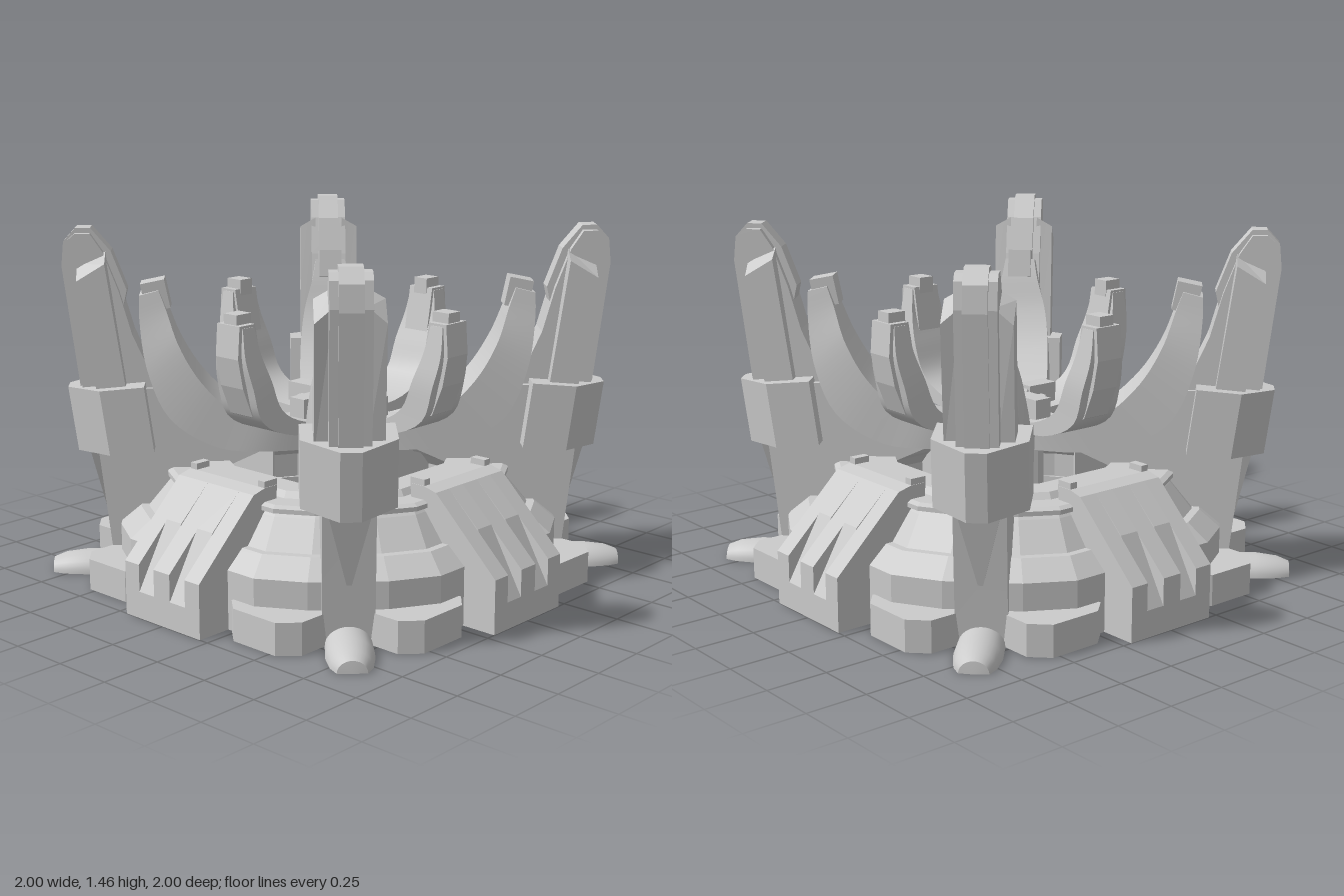
import * as THREE from 'three';
import { toCreasedNormals } from 'three/addons/utils/BufferGeometryUtils.js';

const grey = new THREE.MeshStandardMaterial({ color: 0xcccccc });
const greyOpen = new THREE.MeshStandardMaterial({ color: 0xcccccc, side: THREE.DoubleSide });

function add(parent, name, geo, crease = 0.08, material = grey) {
  const mesh = new THREE.Mesh(toCreasedNormals(geo, crease), material);
  mesh.name = name;
  parent.add(mesh);
  return mesh;
}

function toShape(points) {
  return new THREE.Shape(points.map(([a, b]) => new THREE.Vector2(a, b)));
}

// Side profile in (z, y), extruded across x from x0 to x1
function plate(points, x0, x1) {
  const geo = new THREE.ExtrudeGeometry(toShape(points), { depth: x1 - x0, bevelEnabled: false });
  return geo.translate(0, 0, -x1).rotateY(-Math.PI / 2);
}

// Plan outline in (x, z), extruded upwards
function slab(points, y0, y1) {
  const geo = new THREE.ExtrudeGeometry(toShape(points.map(([x, z]) => [x, -z])), { depth: y1 - y0, bevelEnabled: false });
  return geo.rotateX(-Math.PI / 2).translate(0, y0, 0);
}

// Skin over a list of equal closed cross-sections
function skin(rows, capped = true) {
  const n = rows[0].length, index = [];
  for (let j = 0; j < rows.length - 1; j++) {
    for (let i = 0; i < n; i++) {
      const k = (i + 1) % n, a = j * n, b = a + n;
      index.push(a + i, a + k, b + k, a + i, b + k, b + i);
    }
  }
  if (capped) {
    const e = (rows.length - 1) * n;
    for (let i = 1; i < n - 1; i++) index.push(0, i + 1, i, e, e + i, e + i + 1);
  }
  const geo = new THREE.BufferGeometry();
  geo.setAttribute('position', new THREE.Float32BufferAttribute(rows.flat(2), 3));
  geo.setIndex(index);
  return geo;
}

// Curved rectangular beam: sections are [inner z, inner y, outer z, outer y, half width]
function beam(sections, steps) {
  const inner = new THREE.CatmullRomCurve3(sections.map(s => new THREE.Vector3(s[4], s[1], s[0])));
  const outer = new THREE.CatmullRomCurve3(sections.map(s => new THREE.Vector3(s[4], s[3], s[2])));
  const rows = [];
  for (let i = 0; i <= steps; i++) {
    const p = inner.getPoint(i / steps), q = outer.getPoint(i / steps);
    rows.push([[p.x, p.y, p.z], [-p.x, p.y, p.z], [-q.x, q.y, q.z], [q.x, q.y, q.z]]);
  }
  return skin(rows);
}

function box(w, h, d, x, y, z, tilt = 0) {
  return new THREE.BoxGeometry(w, h, d).rotateX(tilt).translate(x, y, z);
}

// Stepped many-sided shell, open in the middle and underneath
function buildBase(parent) {
  const outline = [];
  for (let k = 0; k < 4; k++) {
    for (const [x, z] of [[-0.35, 0.85], [0.35, 0.85], [0.53, 0.745], [0.745, 0.53]]) {
      const v = new THREE.Vector3(x, 0, z).applyAxisAngle(new THREE.Vector3(0, 1, 0), k * Math.PI / 2);
      outline.push([v.x / 0.85, v.z / 0.85]);
    }
  }
  const profile = [[0.85, 0], [0.85, 0.24], [0.77, 0.31], [0.74, 0.31], [0.655, 0.42], [0.645, 0.43],
    [0.665, 0.437], [0.665, 0.455], [0.645, 0.465], [0.56, 0.465], [0.54, 0.49], [0.43, 0.49]];
  const rows = profile.map(([s, y]) => outline.map(([x, z]) => [x * s, y, z * s]));
  add(parent, 'tieredBase', skin(rows, false), 0.08, greyOpen);
}

// Sloped hollow buttress with two tapering grooves, plus the low blocks beside it
function buildRamp(parent) {
  const top = [[0.705, 0.505], [0.645, 0.52], [0.58, 0.52]];
  const back = [...top, [0.58, 0.47], [0.66, 0.45], [0.9, 0.17], [0.9, 0]];
  const full = [[1, 0], [1, 0.22], ...back];
  const cut = [[1, 0], [1, 0.11], [0.85, 0.37], ...back];
  const ramp = new THREE.Group();
  ramp.name = 'ramp';
  parent.add(ramp);
  const edges = [-0.2, -0.13, -0.045, 0.045, 0.13, 0.2];
  for (let i = 0; i < 5; i++) {
    add(ramp, i % 2 ? 'rampGroove' : 'rampRib', plate(i % 2 ? cut : full, edges[i], edges[i + 1]));
  }
  const cheek = [[0.58, 0], [1, 0], [1, 0.22], ...top];
  for (const s of [-1, 1]) {
    add(ramp, 'rampCheek', plate(cheek, s * 0.205 - 0.005, s * 0.205 + 0.005));
    add(ramp, 'rampLug', box(0.035, 0.05, 0.07, s * 0.19, 0.52, 0.61));
    const block = [[0.24, 0.82], [0.24, 0.86], [0.31, 0.92], [0.53, 0.92], [0.6, 0.85], [0.6, 0.68], [0.48, 0.76], [0.36, 0.82]];
    add(parent, 'footBlock', slab(block.map(([x, z]) => [s * x, z]), 0, 0.13));
  }
}

// Short claw facing the centre
function buildClaw(parent) {
  const claw = new THREE.Group();
  claw.name = 'claw';
  parent.add(claw);
  add(claw, 'clawBlade', beam([
    [0.08, 0.68, 0.1, 0.65, 0.1], [0.3, 0.7, 0.36, 0.655, 0.1], [0.43, 0.77, 0.54, 0.74, 0.1],
    [0.49, 0.9, 0.59, 0.88, 0.1], [0.53, 1.01, 0.615, 1.0, 0.083], [0.55, 1.12, 0.61, 1.12, 0.065],
  ], 20), 0.45);
  add(claw, 'clawSpine', plate([[0.5, 0.73], [0.56, 0.76], [0.61, 0.88], [0.635, 1.0], [0.625, 1.13], [0.54, 1.13], [0.5, 0.9]], -0.062, 0.062));
  add(claw, 'clawTip', box(0.07, 0.12, 0.08, 0, 1.11, 0.575));
}

// Tall diagonal arm: fin, inner finger, ribs, collar and foot
function buildArm(parent) {
  const arm = new THREE.Group();
  arm.name = 'arm';
  parent.add(arm);
  add(arm, 'armLeg', plate([
    [0.6, 0], [0.93, 0], [0.99, 0.55], [1.02, 0.8], [0.73, 0.8], [0.66, 0.72], [0.5, 0.62], [0.3, 0.6], [0.3, 0.54], [0.52, 0.44],
  ], -0.1, 0.1));
  add(arm, 'armFin', plate([
    [0.7, 0.72], [1.04, 0.72], [1.105, 1.31], [1.09, 1.41], [1.06, 1.435], [1.0, 1.435],
    [0.95, 1.36], [0.89, 1.2], [0.84, 1.02], [0.76, 0.84],
  ], -0.078, 0.078));
  add(arm, 'armCrest', plate([
    [0.95, 0.8], [1.06, 0.8], [1.12, 1.3], [1.11, 1.4], [1.06, 1.455], [1.0, 1.455], [0.92, 1.36], [0.86, 1.2],
  ], -0.045, 0.045));
  add(arm, 'innerFinger', beam([
    [0, 0.61, 0, 0.545, 0.1], [0.25, 0.64, 0.3, 0.54, 0.145], [0.42, 0.7, 0.5, 0.56, 0.145],
    [0.56, 0.83, 0.69, 0.68, 0.14], [0.65, 0.98, 0.78, 0.88, 0.12], [0.7, 1.12, 0.81, 1.09, 0.08], [0.73, 1.2, 0.81, 1.18, 0.065],
  ], 28), 0.45);
  add(arm, 'fingerTip', box(0.1, 0.12, 0.1, 0, 1.175, 0.745, 0.2));
  for (const s of [-1, 1]) {
    // Square rib on each side, cut off at a slant on top
    const ring = (r0, r1, heights) => {
      const loop = [[0.13, r0], [0.06, r0], [0.06, r1], [0.13, r1]].map(([t, r], i) => [s * t, heights[i], r]);
      return s > 0 ? loop : loop.reverse();
    };
    add(arm, 'sideRib', skin([ring(0.86, 0.98, [0.75, 0.75, 0.75, 0.75]), ring(0.94, 1.055, [1.32, 1.36, 1.31, 1.25])]));
  }
  // Pointed collar leaning with the arm
  const plan = [[-0.18, 0.78], [0.18, 0.78], [0.18, 0.96], [0.04, 1.1], [-0.04, 1.1], [-0.18, 0.96]];
  const collar = slab(plan, 0.54, 0.81);
  const pos = collar.attributes.position;
  for (let i = 0; i < pos.count; i++) {
    const y = pos.getY(i), z = pos.getZ(i);
    pos.setZ(i, z + (y - 0.72) * 0.13);
    pos.setY(i, y + (z - 0.95) * -0.08);
  }
  add(arm, 'collar', collar);
  // Wedge tapering down the leg under the collar
  const wedgeRing = (w, y, z0, z1) => [[w, y, z0], [-w, y, z0], [-w, y, z1], [w, y, z1]];
  add(arm, 'legWedge', skin([wedgeRing(0.01, 0.25, 0.93, 0.965), wedgeRing(0.085, 0.56, 0.96, 1.03)]));
  // Half-round bullet-shaped foot, lying flat and pointing outwards
  const foot = new THREE.LatheGeometry(
    [[0.09, 0.92], [0.093, 1.06], [0.08, 1.15], [0.057, 1.2], [0, 1.205]].map(p => new THREE.Vector2(...p)), 14, 0, Math.PI);
  foot.rotateY(Math.PI / 2).rotateX(Math.PI / 2);
  const fp = foot.attributes.position;
  for (let i = 0; i < fp.count; i++) fp.setY(i, Math.abs(fp.getY(i)) * 0.85);
  add(arm, 'foot', foot, 0.6, greyOpen);
}

// Octagonal hub with a cross of four lugs
function buildHub(parent) {
  const hub = new THREE.Group();
  hub.name = 'hub';
  parent.add(hub);
  const disc = (name, r0, r1, h, y) =>
    add(hub, name, new THREE.CylinderGeometry(r0, r1, h, 8).rotateY(Math.PI / 8).translate(0, y, 0));
  disc('hubDisc', 0.18, 0.19, 0.12, 0.67);
  disc('hubCollar', 0.1, 0.12, 0.04, 0.74);
  disc('hubKnob', 0.06, 0.075, 0.02, 0.765);
  for (let k = 0; k < 4; k++) {
    add(hub, 'hubLug', box(0.08, 0.1, 0.14, 0, 0.72, 0.175)).rotation.y = k * Math.PI / 2;
  }
}

export function createModel() {
  const model = new THREE.Group();
  model.name = 'clawPlatform';
  buildBase(model);
  buildHub(model);
  for (let k = 0; k < 4; k++) {
    const side = new THREE.Group(), corner = new THREE.Group();
    side.name = 'side';
    corner.name = 'corner';
    side.rotation.y = k * Math.PI / 2;
    corner.rotation.y = (k + 0.5) * Math.PI / 2;
    buildRamp(side);
    buildClaw(side);
    buildArm(corner);
    model.add(side, corner);
  }
  return model;
}
